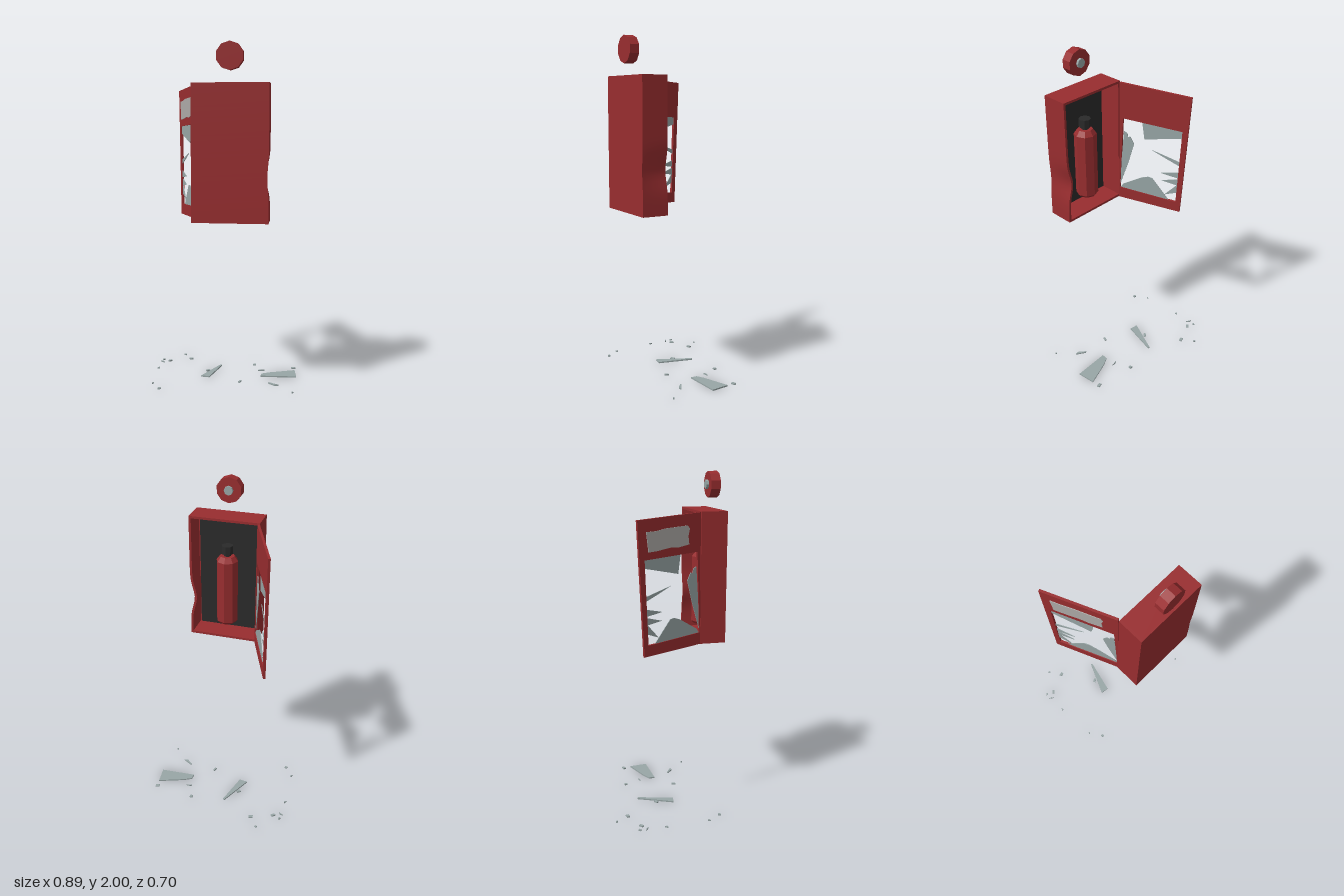
import * as THREE from 'three';

export function createModel() {
  const model = new THREE.Group();
  const mat = (name, color) => {
    const m = new THREE.MeshStandardMaterial({ color });
    m.name = name;
    return m;
  };
  const red = mat('red paint', 0x982d2f);
  const dark = mat('dark lining', 0x2a2a2a);
  const glass = mat('glass', 0x98a6a6);
  const paper = mat('paper label', 0xaeaba8);

  const add = (parent, name, geometry, material, x = 0, y = 0, z = 0) => {
    const m = new THREE.Mesh(geometry, material);
    m.name = name;
    m.position.set(x, y, z);
    parent.add(m);
    return m;
  };
  const facet = (g) => {
    const f = g.toNonIndexed();
    f.computeVertexNormals();
    return f;
  };
  const vec = (pts) => pts.map(([a, b]) => new THREE.Vector2(a, b));
  const plate = (pts, depth, hole) => {
    const shape = new THREE.Shape(vec(pts));
    if (hole) shape.holes.push(new THREE.Path(vec(hole)));
    return new THREE.ExtrudeGeometry(shape, { depth, bevelEnabled: false });
  };

  // Cabinet: open toward -z, with one side wall dented at the rim
  const cabinet = new THREE.Group();
  cabinet.name = 'cabinet';
  model.add(cabinet);
  const X0 = -0.147, X1 = 0.283, Y0 = 1.01, Y1 = 1.78, Z0 = 0.195, Z1 = 0.35, T = 0.014;
  const panel = (name, x0, x1, y0, y1, z0, z1, material = red, dented = false) => {
    const seg = dented ? 24 : 1;
    const g = new THREE.BoxGeometry(x1 - x0, y1 - y0, z1 - z0, 1, seg, dented ? 6 : 1);
    g.translate((x0 + x1) / 2, (y0 + y1) / 2, (z0 + z1) / 2);
    if (dented) {
      const p = g.attributes.position;
      for (let i = 0; i < p.count; i++) {
        if (p.getX(i) < 0.2) continue;
        const depth = 0.008 + 0.02 * (Z1 - p.getZ(i)) / (Z1 - Z0);
        const d = (p.getY(i) - 1.26) / 0.085;
        p.setX(i, p.getX(i) - depth * Math.exp(-d * d));
      }
      g.computeVertexNormals();
    }
    add(cabinet, name, g, material);
  };
  panel('frontPanel', X0, X1, Y0, Y1, Z1 - 0.008, Z1, red, true);
  panel('dentedWall', X1 - T, X1, Y0, Y1, Z0, Z1 - 0.008, red, true);
  panel('hingeWall', X0, X0 + T, Y0, Y1, Z0, Z1 - 0.008);
  panel('topWall', X0 + T, X1 - T, Y1 - T, Y1, Z0, Z1 - 0.008);
  panel('bottomWall', X0 + T, X1 - T, Y0, Y0 + T, Z0, Z1 - 0.008);
  panel('lining', X0 + T, X1 - T - 0.008, Y0 + T, Y1 - T, Z1 - 0.014, Z1 - 0.008, dark);

  // Extinguisher inside the cabinet
  const extinguisher = new THREE.Group();
  extinguisher.name = 'extinguisher';
  extinguisher.position.set(0.068, 0, 0.268);
  model.add(extinguisher);
  const profile = vec([[0, 1.09], [0.055, 1.09], [0.067, 1.105], [0.067, 1.5], [0.045, 1.53], [0, 1.53]]);
  add(extinguisher, 'tank', facet(new THREE.LatheGeometry(profile, 8)), red);
  add(extinguisher, 'neck', facet(new THREE.CylinderGeometry(0.022, 0.022, 0.03, 8)), dark, 0, 1.535, 0);
  add(extinguisher, 'valve', facet(new THREE.CylinderGeometry(0.036, 0.036, 0.05, 8)), dark, 0, 1.57, 0);

  // Alarm bell above
  const bell = new THREE.Group();
  bell.name = 'bell';
  bell.position.set(0.067, 1.922, 0);
  model.add(bell);
  const disc = (r, h, n) => facet(new THREE.CylinderGeometry(r, r, h, n).rotateX(Math.PI / 2));
  add(bell, 'bellBody', disc(0.077, 0.057, 10), red, 0, 0, 0.3215);
  add(bell, 'bellMount', disc(0.027, 0.016, 8), glass, 0, 0, 0.286);

  // Sagging open door; outlines are given as (depth z, height y) and laid along the door plane
  const door = new THREE.Group();
  door.name = 'door';
  door.position.set(-0.137, 0, 0.195);
  door.rotation.y = Math.atan2(0.925, -0.379);
  model.add(door);
  const onDoor = (pts) => pts.map(([z, y]) => [(0.195 - z) / 0.925, y]);
  add(door, 'doorFrame', plate(
    onDoor([[0.195, 1.01], [-0.173, 0.99], [-0.213, 1.752], [0.187, 1.777]]), 0.014,
    onDoor([[0.188, 1.08], [-0.148, 1.055], [-0.17, 1.535], [0.168, 1.555]])), red, 0, 0, -0.007);
  add(door, 'label', plate(onDoor([
    [0.11, 1.602], [0.04, 1.59], [0.0, 1.594], [-0.1, 1.58], [-0.148, 1.577], [-0.15, 1.6],
    [-0.161, 1.687], [-0.1, 1.689], [-0.04, 1.7], [0.1, 1.708], [0.113, 1.69], [0.104, 1.65],
  ]), 0.004), paper, 0, 0, -0.011);
  const stuckShards = [
    [[0.06, 1.555], [-0.175, 1.54], [-0.17, 1.49], [0.045, 1.44]],
    [[0.195, 1.08], [0.165, 1.47], [0.145, 1.46], [0.142, 1.435], [0.128, 1.44], [0.106, 1.395], [0.14, 1.26]],
    [[0.19, 1.075], [0.17, 1.105], [0.06, 1.175], [0.02, 1.19], [-0.005, 1.185], [-0.105, 1.055]],
    [[0.0, 1.378], [-0.165, 1.33], [-0.16, 1.305], [-0.08, 1.34]],
    [[-0.055, 1.235], [-0.162, 1.262], [-0.158, 1.22]],
    [[-0.06, 1.185], [-0.16, 1.215], [-0.155, 1.17]],
    [[-0.08, 1.09], [-0.157, 1.18], [-0.153, 1.12]],
  ];
  for (const s of stuckShards) add(door, 'stuckShard', plate(onDoor(s), 0.004), glass, 0, 0, -0.002);

  // Broken glass on the ground, outlines as (x, z)
  const debris = new THREE.Group();
  debris.name = 'groundShards';
  model.add(debris);
  const fallen = [
    [[0.223, 0.002], [0.226, -0.035], [0.27, -0.06], [0.43, -0.12], [0.443, -0.01]],
    [[-0.142, 0.04], [-0.047, -0.17], [-0.037, -0.165], [-0.09, 0.047]],
    [[-0.445, -0.198], [-0.425, -0.195], [-0.415, -0.18]],
    [[-0.44, -0.067], [-0.428, -0.085], [-0.425, -0.07]],
    [[0.275, 0.108], [0.282, 0.104], [0.34, 0.138], [0.315, 0.142]],
    [[0.202, -0.098], [0.213, -0.106], [0.24, -0.105]],
    [[-0.42, 0.195], [-0.413, 0.18], [-0.407, 0.188]],
  ];
  // Small crumbs: x, z, length, width, turn
  const crumbs = [
    [-0.305, -0.345, 0.014, 0.009, 0.5], [-0.253, -0.27, 0.026, 0.017, -0.25],
    [-0.43, -0.233, 0.014, 0.011, -0.9], [-0.385, -0.215, 0.025, 0.015, -0.75],
    [-0.113, -0.064, 0.026, 0.016, -0.6], [0.171, -0.201, 0.018, 0.018, 0.05],
    [0.421, -0.168, 0.026, 0.017, -0.3], [0.104, 0.103, 0.026, 0.012, -1.25],
    [-0.36, 0.267, 0.016, 0.015, 0.15], [0.425, 0.24, 0.009, 0.008, 0.5],
  ];
  for (const [x, z, l, w, a] of crumbs) {
    const c = Math.cos(a), s = Math.sin(a);
    fallen.push([[-1, -1], [1, -1], [1, 1], [-1, 1]].map(([i, j]) =>
      [x + (i * l * c - j * w * s) / 2, z + (i * l * s + j * w * c) / 2]));
  }
  for (const f of fallen) {
    const g = plate(f.map(([x, z]) => [x, -z]), 0.008);
    add(debris, 'groundShard', g.rotateX(-Math.PI / 2), glass);
  }
  return model;
}
